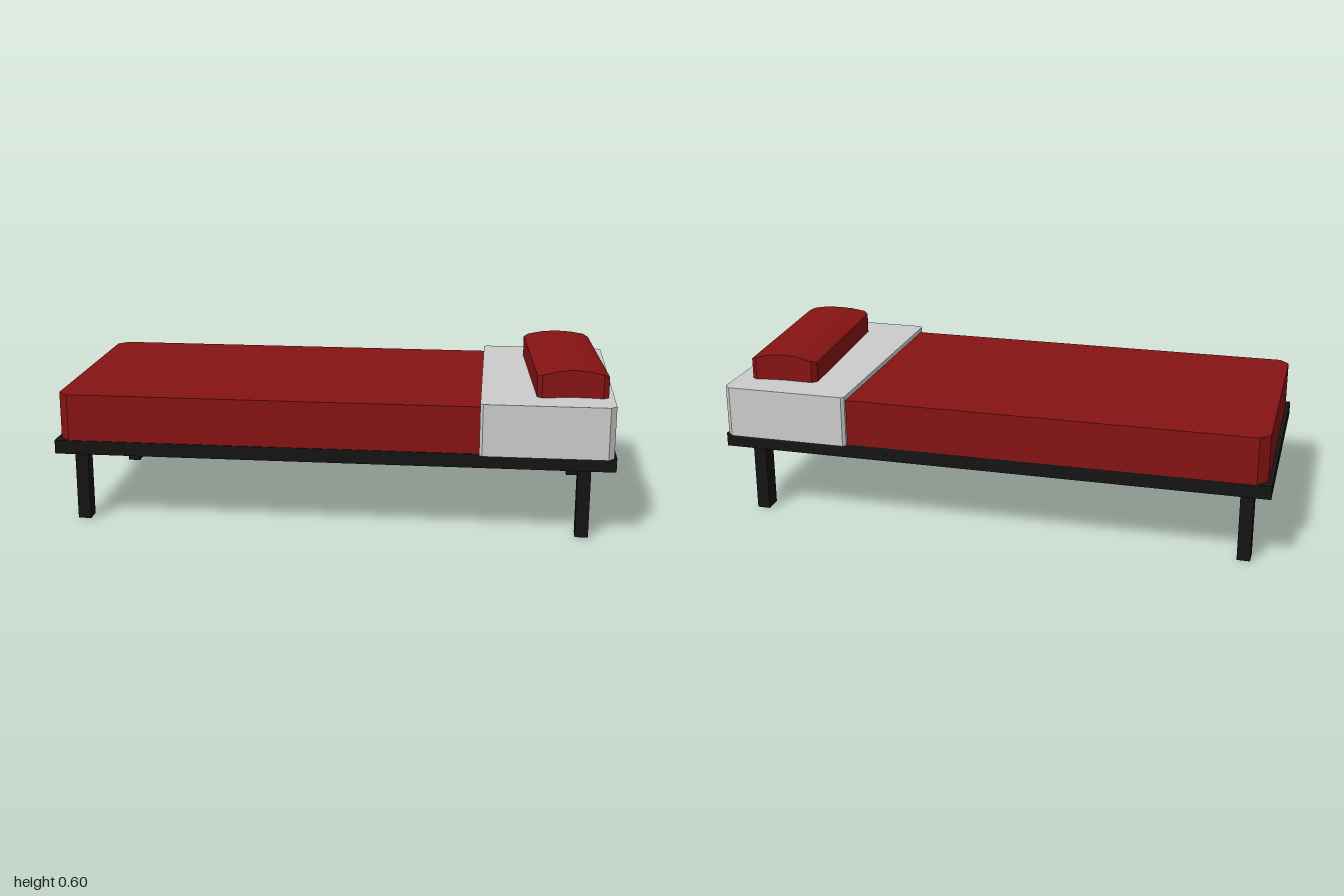
import * as THREE from 'three';

const black = new THREE.MeshStandardMaterial({ color: 0x141414, flatShading: true });
const red = new THREE.MeshStandardMaterial({ color: 0x861313, flatShading: true });
const grey = new THREE.MeshStandardMaterial({ color: 0xcccccc, flatShading: true });

// Box given by its limits on each axis
function box(name, [x0, x1], [y0, y1], [z0, z1], material) {
  const mesh = new THREE.Mesh(new THREE.BoxGeometry(x1 - x0, y1 - y0, z1 - z0), material);
  mesh.position.set((x0 + x1) / 2, (y0 + y1) / 2, (z0 + z1) / 2);
  mesh.name = name;
  return mesh;
}

// Slab whose corners are cut by cl at the left end and cr at the right end (plan view)
function slab(name, [x0, x1], [y0, y1], [z0, z1], cl, cr, material) {
  const plan = [
    [x0 + cl, -z1], [x1 - cr, -z1], [x1, -z1 + cr], [x1, -z0 - cr],
    [x1 - cr, -z0], [x0 + cl, -z0], [x0, -z0 - cl], [x0, -z1 + cl],
  ].map(([x, y]) => new THREE.Vector2(x, y)).filter((p, i, a) => i === 0 || !p.equals(a[i - 1]));
  if (plan[0].equals(plan[plan.length - 1])) plan.pop();
  const geometry = new THREE.ExtrudeGeometry(new THREE.Shape(plan), { depth: y1 - y0, bevelEnabled: false });
  geometry.rotateX(-Math.PI / 2).translate(0, y0, 0);
  const mesh = new THREE.Mesh(geometry, material);
  mesh.name = name;
  return mesh;
}

// Crowned, slightly skewed pillow made of strips running back to front
function pillow(base) {
  // back x, back z, front z, top height
  const strips = [
    [0.68, -0.31, 0.33, 0.572], [0.697, -0.33, 0.346, 0.579], [0.75, -0.329, 0.336, 0.59],
    [0.80, -0.327, 0.326, 0.595], [0.86, -0.332, 0.328, 0.591], [0.91, -0.342, 0.335, 0.581],
    [0.93, -0.328, 0.32, 0.572],
  ];
  const skew = 0.04;
  const rings = strips.map(([x, zb, zf, top]) => ({
    bLow: [x, base, zb], bTop: [x, top, zb],
    fLow: [x + skew, base, zf], fTop: [x + skew, top, zf],
  }));
  const positions = [];
  const quad = (a, b, c, d) => positions.push(...a, ...b, ...c, ...a, ...c, ...d);
  for (let i = 0; i < rings.length - 1; i++) {
    const p = rings[i], q = rings[i + 1];
    quad(p.bTop, p.fTop, q.fTop, q.bTop);
    quad(p.bLow, q.bLow, q.fLow, p.fLow);
    quad(p.fLow, q.fLow, q.fTop, p.fTop);
    quad(q.bLow, p.bLow, p.bTop, q.bTop);
  }
  const s = rings[0], e = rings[rings.length - 1];
  quad(s.bLow, s.fLow, s.fTop, s.bTop);
  quad(e.fLow, e.bLow, e.bTop, e.fTop);
  const geometry = new THREE.BufferGeometry();
  geometry.setAttribute('position', new THREE.Float32BufferAttribute(positions, 3));
  geometry.computeVertexNormals();
  const mesh = new THREE.Mesh(geometry, red);
  mesh.name = 'pillow';
  return mesh;
}

export function createModel() {
  const bed = new THREE.Group();
  bed.name = 'bed';

  bed.add(box('frame', [-1, 1], [0.26, 0.31], [-0.437, 0.431], black));

  // Four legs
  for (const [xName, xs] of [['right', [-0.94, -0.893]], ['left', [0.87, 0.917]]]) {
    for (const [zName, zs] of [['front', [0.33, 0.386]], ['back', [-0.392, -0.326]]]) {
      const name = zName + xName[0].toUpperCase() + xName.slice(1) + 'Leg';
      bed.add(box(name, xs, [0, 0.26], zs, black));
    }
  }

  // Mattress, with the sheet folded around its head end
  bed.add(slab('mattress', [-0.985, 0.54], [0.31, 0.48], [-0.437, 0.427], 0.036, 0, red));
  bed.add(slab('headSheet', [0.525, 0.99], [0.31, 0.497], [-0.458, 0.456], 0.01, 0.021, grey));
  bed.add(pillow(0.497));
  return bed;
}
